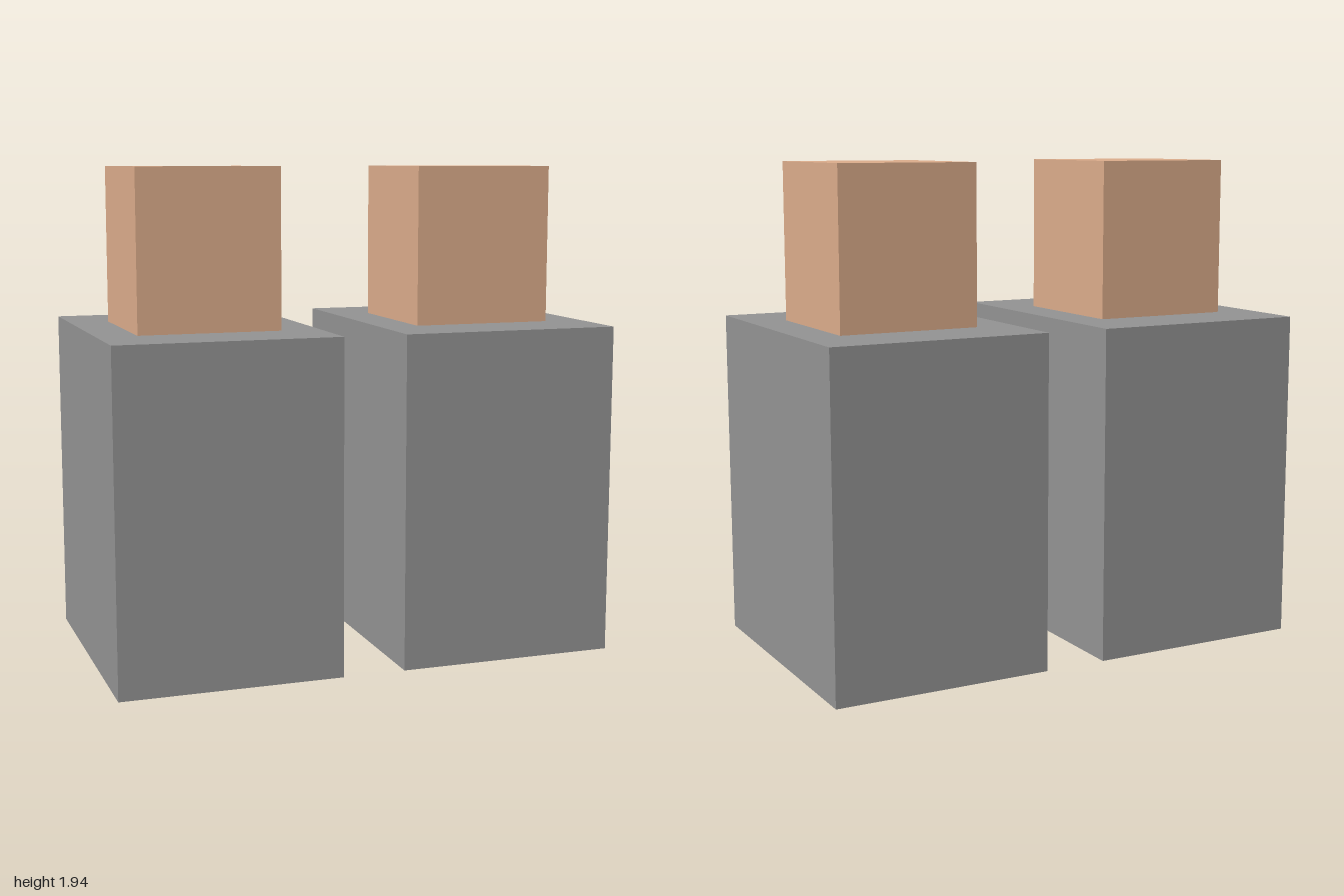
import * as THREE from 'three';

const darkGrey = new THREE.MeshStandardMaterial({ color: 0x929292 });
const tan = new THREE.MeshStandardMaterial({ color: 0xdaab8a });

// Box standing on the given height
function block(name, width, height, depth, bottom, material) {
  const mesh = new THREE.Mesh(new THREE.BoxGeometry(width, height, depth), material);
  mesh.name = name;
  mesh.position.y = bottom + height / 2;
  return mesh;
}

export function createModel() {
  const model = new THREE.Group();
  model.name = 'pairOfBlocks';

  const baseHeight = 1.3125;
  for (const [side, sign] of [['left', 1], ['right', -1]]) {
    const column = new THREE.Group();
    column.name = side + 'Column';
    column.position.x = sign * 0.5625;
    // Wide lower block with a smaller block centred on top
    column.add(block(side + 'Base', 0.875, baseHeight, 1.125, 0, darkGrey));
    column.add(block(side + 'Top', 0.5625, 0.625, 0.5625, baseHeight, tan));
    model.add(column);
  }
  return model;
}
